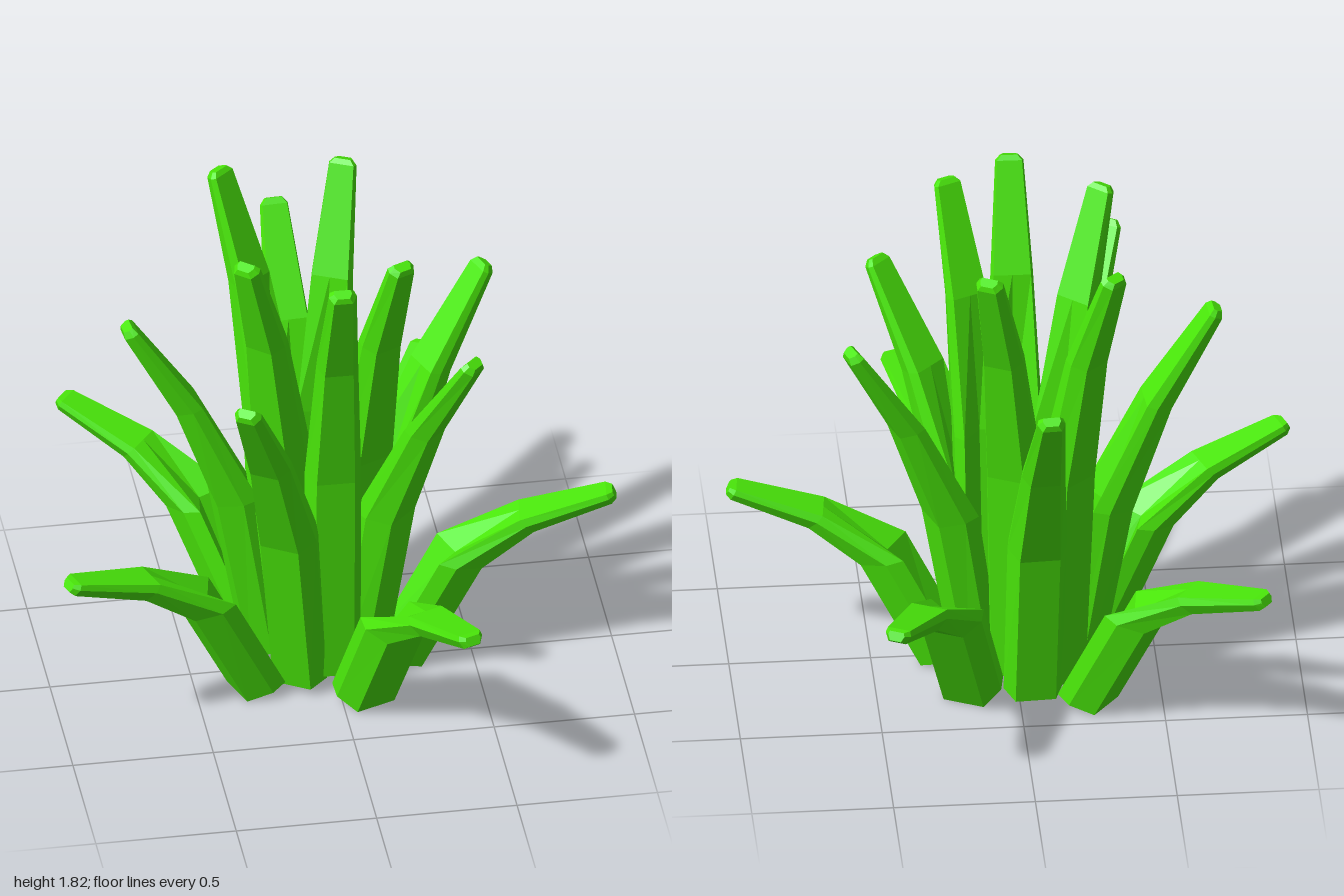
import * as THREE from 'three';

// Each tier: leaf sections from base to tip as
// [offset along leaf from tip, height, width, thickness vector out, thickness vector up],
// and leaves as [tip x, tip z, heading in degrees from +x towards +z].
const TIERS = [
  {
    name: 'outerLeaf',
    sections: [
      [-0.735, 0.027, 0.22, 0.14, -0.05],
      [-0.53, 0.43, 0.225, 0.15, -0.035],
      [-0.295, 0.575, 0.15, 0.05, -0.06],
      [-0.005, 0.667, 0.095, 0.02, -0.045],
      [0.015, 0.675, 0.06, 0.015, -0.03],
    ],
    leaves: [[0.98, 0.09, 7], [0.35, 0.925, 69], [-0.98, 0.36, 160], [-0.82, -0.8, -141.5], [0.48, -0.93, -65]],
  },
  {
    name: 'middleLeaf',
    sections: [
      [-0.485, 0.04, 0.21, 0.12, -0.025],
      [-0.38, 0.685, 0.21, 0.145, -0.02],
      [-0.21, 1.085, 0.155, 0.09, -0.025],
      [-0.005, 1.425, 0.1, 0.045, -0.025],
      [0.005, 1.445, 0.065, 0.03, -0.018],
    ],
    leaves: [[0.59, -0.28, -21], [0.455, 0.345, 45], [-0.385, 0.53, 121], [-0.71, -0.08, 175], [-0.075, -0.795, -93]],
  },
  {
    name: 'innerLeaf',
    sections: [
      [-0.28, 0.06, 0.21, 0.12, -0.01],
      [-0.235, 0.91, 0.2, 0.13, -0.02],
      [-0.135, 1.42, 0.15, 0.09, -0.02],
      [-0.003, 1.8, 0.1, 0.05, -0.02],
      [0.003, 1.818, 0.065, 0.035, -0.014],
    ],
    leaves: [[-0.02, 0.39, 91], [0.215, 0.25, 66], [-0.33, 0.165, 130], [-0.325, -0.46, -130], [0.12, -0.455, -65]],
  },
];

// Cross-section [across, through]; the first point is the fold on the inner face
const SECTION = [[0, 0], [0.44, -0.5], [0.5, -0.1], [0.34, 0.5], [-0.34, 0.5], [-0.5, -0.1], [-0.44, -0.5]];
// The fold is deepest at the base and flattens out towards the tip
const FOLD = [0, -0.1, -0.5, -0.5, -0.5];

// Skin the sections and cap both ends
function leafGeometry(sections) {
  const points = [];
  const index = [];
  sections.forEach(([out, height, width, tx, ty], s) => {
    SECTION.forEach(([u, v], j) => {
      const through = j === 0 ? FOLD[s] : v;
      points.push(out + through * tx, height + through * ty, u * width);
    });
  });
  const n = SECTION.length;
  const last = (sections.length - 1) * n;
  for (let s = 0; s < last; s += n) {
    for (let j = 0; j < n; j++) {
      const a = s + j, b = s + ((j + 1) % n);
      index.push(a, b, b + n, a, b + n, a + n);
    }
  }
  for (let j = 1; j < n - 1; j++) {
    index.push(0, j + 1, j);
    index.push(last, last + j, last + j + 1);
  }
  const geometry = new THREE.BufferGeometry();
  geometry.setAttribute('position', new THREE.Float32BufferAttribute(points, 3));
  geometry.setIndex(index);
  const flat = geometry.toNonIndexed();
  flat.computeVertexNormals();
  return flat;
}

export function createModel() {
  const plant = new THREE.Group();
  plant.name = 'plant';
  const green = new THREE.MeshStandardMaterial({ color: 0x4ae80a, flatShading: true });

  // Three tiers of leaves, each fanned out around the middle
  for (const { name, sections, leaves } of TIERS) {
    const geometry = leafGeometry(sections);
    leaves.forEach(([x, z, heading], i) => {
      const leaf = new THREE.Mesh(geometry, green);
      leaf.name = `${name}${i + 1}`;
      leaf.position.set(x, 0, z);
      leaf.rotation.y = -THREE.MathUtils.degToRad(heading);
      plant.add(leaf);
    });
  }
  return plant;
}
